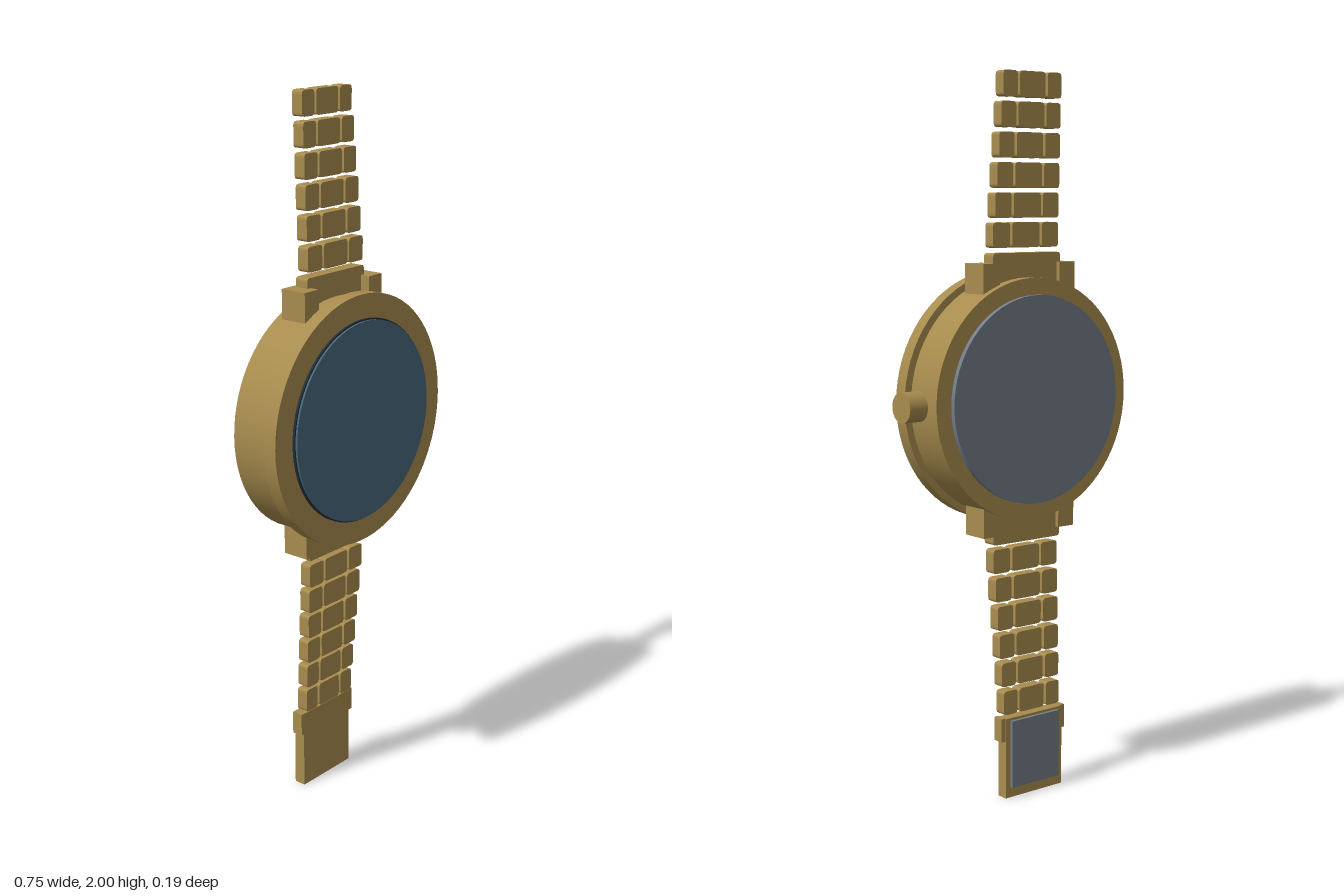
import * as THREE from 'three';

const CX = -0.023, CY = 1.12; // centre of the watch case

function material(name, color) {
  const m = new THREE.MeshStandardMaterial({ color });
  m.name = name;
  return m;
}

export function createModel() {
  const gold = material('gold', 0xa88c4e);
  const glass = material('blue glass', 0x48687c);
  const steel = material('steel grey', 0x747d8a);
  const dark = material('dark gasket', 0x262c34);
  const root = new THREE.Group();
  root.name = 'wristwatch';

  function add(parent, name, geometry, mat, x = 0, y = 0, z = 0) {
    const mesh = new THREE.Mesh(geometry, mat);
    mesh.name = name;
    mesh.position.set(x, y, z);
    parent.add(mesh);
    return mesh;
  }

  // Box given by its limits
  function box(parent, name, mat, x0, x1, y0, y1, z0, z1) {
    return add(parent, name, new THREE.BoxGeometry(x1 - x0, y1 - y0, z1 - z0), mat,
      (x0 + x1) / 2, (y0 + y1) / 2, (z0 + z1) / 2);
  }

  // Round disc facing the front
  function disc(name, mat, radius, z0, z1) {
    const g = new THREE.CylinderGeometry(radius, radius, z1 - z0, 72).rotateX(Math.PI / 2);
    return add(root, name, g, mat, CX, CY, (z0 + z1) / 2);
  }

  // Plate with rounded corners, extruded in z
  function roundedPlate(parent, name, x0, x1, y0, y1, z0, z1, r = 0.01) {
    const s = new THREE.Shape();
    s.moveTo(x0 + r, y0);
    s.lineTo(x1 - r, y0);
    s.quadraticCurveTo(x1, y0, x1, y0 + r);
    s.lineTo(x1, y1 - r);
    s.quadraticCurveTo(x1, y1, x1 - r, y1);
    s.lineTo(x0 + r, y1);
    s.quadraticCurveTo(x0, y1, x0, y1 - r);
    s.lineTo(x0, y0 + r);
    s.quadraticCurveTo(x0, y0, x0 + r, y0);
    const g = new THREE.ExtrudeGeometry(s, { depth: z1 - z0, bevelEnabled: false, curveSegments: 4 });
    return add(parent, name, g, gold, 0, 0, z0);
  }

  // Case, bezel, glass and back
  disc('case', gold, 0.333, -0.08, 0.035);
  disc('caseNeck', gold, 0.31, 0.03, 0.045);
  disc('bezel', gold, 0.35, 0.04, 0.08);
  disc('glassGasket', dark, 0.283, 0.075, 0.087);
  disc('glass', glass, 0.279, 0.08, 0.093);
  disc('backGasket', dark, 0.281, -0.085, -0.075);
  disc('backPlate', steel, 0.287, -0.097, -0.083);

  // Crown and stem
  const crown = new THREE.Group();
  crown.name = 'crown';
  root.add(crown);
  const peg = (name, r, x0, x1) => add(crown, name,
    new THREE.CylinderGeometry(r, r, x1 - x0, 32).rotateZ(Math.PI / 2), gold, (x0 + x1) / 2, CY, -0.008);
  peg('crownStem', 0.024, 0.295, 0.32);
  peg('crownKnob', 0.041, 0.315, 0.372);

  // Lugs, end pieces and link bands above and below the case
  for (const side of [1, -1]) {
    const band = new THREE.Group();
    band.name = side > 0 ? 'upperBand' : 'lowerBand';
    root.add(band);
    const span = (a, b) => side > 0 ? [CY + a, CY + b] : [CY - b, CY - a];

    for (const s of [1, -1]) {
      const x = CX + s * 0.133;
      box(band, 'lug', gold, x - 0.028, x + 0.028, ...span(0.285, 0.373), -0.06, 0.02);
    }
    roundedPlate(band, 'endPiece', CX - 0.118, CX + 0.118, ...span(0.28, 0.4), -0.048, -0.008);

    for (let i = 0; i < 6; i++) {
      const t = i / 5;
      const half = 0.114 - 0.014 * t;
      const inner = 0.048 - 0.004 * t;
      const y = 0.448 + 0.08 * i;
      const z = -0.026 - 0.028 * t;
      const ys = span(y - 0.034, y + 0.034);
      const columns = [[-half, -inner - 0.008], [-inner, inner], [inner + 0.008, half]];
      for (const [a, b] of columns) {
        roundedPlate(band, 'link', CX + a, CX + b, ...ys, z - 0.017, z + 0.017);
      }
      // Pin joining the three columns
      const pin = new THREE.CylinderGeometry(0.005, 0.005, half * 1.6, 10).rotateZ(Math.PI / 2);
      add(band, 'linkPin', pin, gold, CX, CY + side * y, z);
    }
  }

  // Clasp with shoulders and a grey back plate
  const clasp = new THREE.Group();
  clasp.name = 'clasp';
  root.add(clasp);
  box(clasp, 'claspBody', gold, CX - 0.103, CX + 0.101, 0, 0.23, -0.08, -0.046);
  for (const s of [1, -1]) {
    const x = CX + s * 0.107;
    box(clasp, 'claspShoulder', gold, x - 0.007, x + 0.007, 0.165, 0.232, -0.078, -0.045);
  }
  box(clasp, 'claspBackPlate', steel, CX - 0.085, CX + 0.085, 0.03, 0.223, -0.09, -0.078);

  return root;
}
